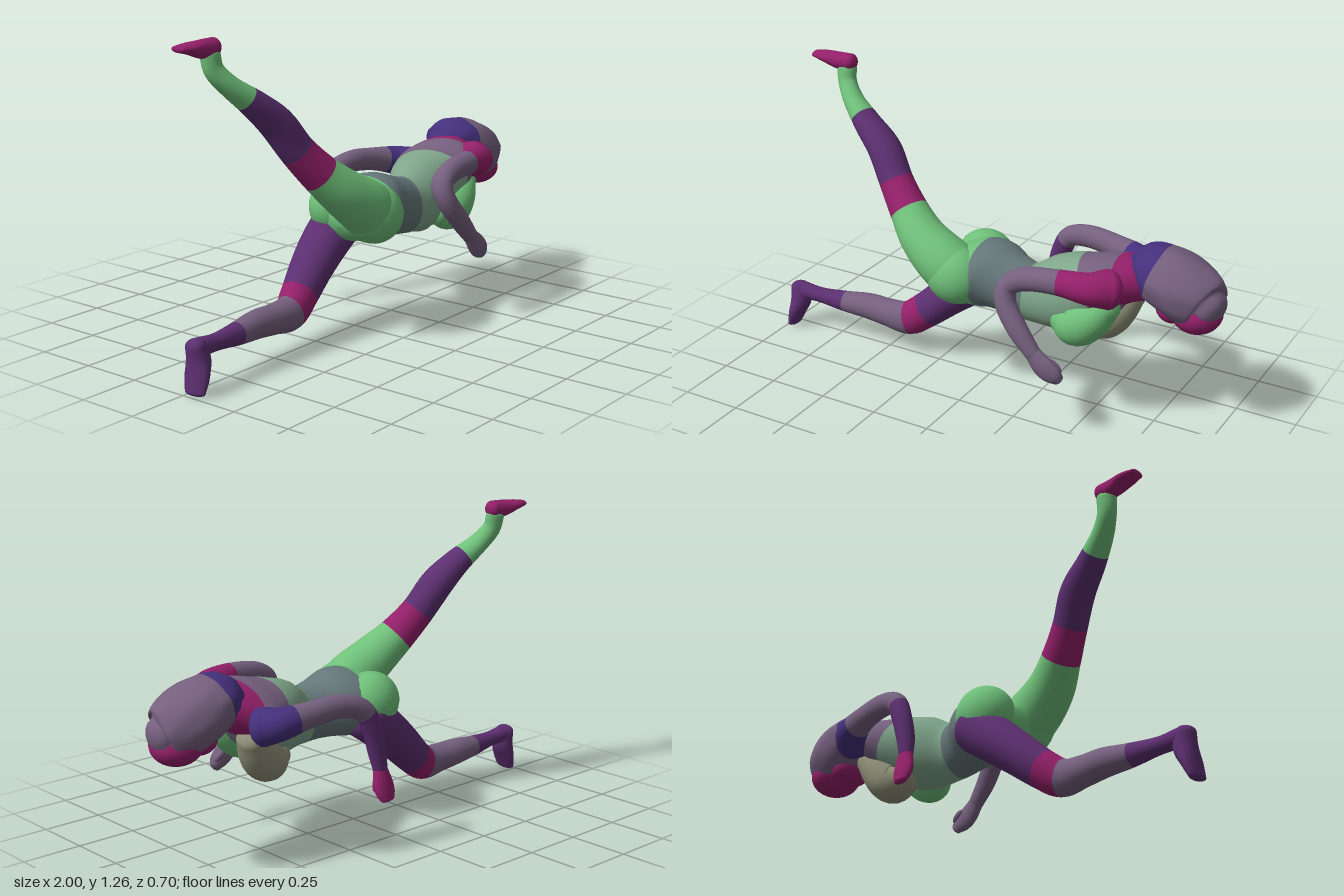
import * as THREE from 'three';

const GREEN = 0x6fc07a, PURPLE = 0x5c2f70, MAUVE = 0x75607e, MAGENTA = 0x94206a;
const SLATE = 0x66787a, SAGE = 0x7fa58a, INDIGO = 0x45307c, SAND = 0x8f9078;
const SIDES = 28, STEPS = 6, CAP = 5;

// Smooth loft through stations [x, y, z, halfWidth, halfHeight, roll];
// bands [name, color, lastStation] cut it into coloured lengths.
function loft(group, stations, bands, bump = () => 1) {
  const path = new THREE.CatmullRomCurve3(stations.map(s => new THREE.Vector3(s[0], s[1], s[2])), false, 'catmullrom', 0.5);
  const size = new THREE.CatmullRomCurve3(stations.map(s => new THREE.Vector3(s[3], s[4], s[5] || 0)), false, 'catmullrom', 0.5);
  const spans = stations.length - 1, rings = [];
  const addRing = (t, along, scale) => {
    const T = path.getTangent(t), r = size.getPoint(t);
    const C = path.getPoint(t).addScaledVector(T, along * Math.min(r.x, r.y));
    const S = new THREE.Vector3(0, 0, 1).addScaledVector(T, -T.z).normalize().applyAxisAngle(T, r.z);
    rings.push({ C, S, U: T.clone().cross(S), a: r.x * scale, b: r.y * scale, t });
  };
  // rounded start, body, rounded end
  for (let k = CAP; k > 0; k--) {
    const q = k / CAP * Math.PI / 2;
    addRing(0, -Math.sin(q) * 0.7, Math.max(Math.cos(q), 0.002));
  }
  for (let i = 0; i <= spans * STEPS; i++) addRing(i / (spans * STEPS), 0, 1);
  for (let k = 1; k <= CAP; k++) {
    const q = k / CAP * Math.PI / 2;
    addRing(1, Math.sin(q) * 0.7, Math.max(Math.cos(q), 0.002));
  }
  const pos = [];
  for (const { C, S, U, a, b, t } of rings) {
    for (let j = 0; j < SIDES; j++) {
      const q = j / SIDES * Math.PI * 2, m = bump(q, t);
      const p = C.clone().addScaledVector(S, a * m * Math.cos(q)).addScaledVector(U, b * m * Math.sin(q));
      pos.push(p.x, p.y, p.z);
    }
  }
  const faces = (from, to) => {
    const out = [];
    for (let i = from; i < to; i++) for (let j = 0; j < SIDES; j++) {
      const k = (j + 1) % SIDES, a = i * SIDES + j, b = i * SIDES + k;
      out.push(a, b, a + SIDES, b, b + SIDES, a + SIDES);
    }
    return out;
  };
  const whole = new THREE.BufferGeometry();
  whole.setAttribute('position', new THREE.Float32BufferAttribute(pos, 3));
  whole.setIndex(faces(0, rings.length - 1));
  whole.computeVertexNormals();
  let start = 0;
  bands.forEach(([name, color, last], n) => {
    const end = n === bands.length - 1 ? rings.length - 1 : CAP + Math.round(last * STEPS);
    const g = whole.clone();
    g.setIndex(faces(start, end));
    addMesh(group, name, g, color);
    start = end;
  });
}

function addMesh(group, name, geometry, color) {
  const mesh = new THREE.Mesh(geometry, new THREE.MeshStandardMaterial({ color }));
  mesh.name = name;
  group.add(mesh);
  return mesh;
}

function ellipsoid(group, name, color, [x, y, z], [a, b, c], tilt = 0) {
  const m = addMesh(group, name, new THREE.SphereGeometry(1, 28, 20), color);
  m.position.set(x, y, z);
  m.scale.set(a, b, c);
  m.rotation.z = tilt;
}

export function createModel() {
  const model = new THREE.Group();
  model.name = 'reclining figure';
  const part = name => {
    const g = new THREE.Group();
    g.name = name;
    model.add(g);
    return g;
  };

  // torso, rolled slightly so one shoulder sits higher
  const torso = part('torso');
  loft(torso, [
    [-0.1, 0.48, 0.05, 0.13, 0.09, -0.1], [-0.04, 0.495, 0.05, 0.19, 0.125, -0.1],
    [0.05, 0.505, 0.05, 0.168, 0.138, -0.1], [0.15, 0.49, 0.065, 0.12, 0.122, -0.12],
    [0.25, 0.478, 0.07, 0.1, 0.12, -0.15], [0.37, 0.5, 0.05, 0.135, 0.153, -0.17],
    [0.48, 0.54, 0.025, 0.172, 0.142, -0.17], [0.56, 0.583, 0.01, 0.195, 0.11, -0.17],
    [0.63, 0.605, 0, 0.155, 0.092, -0.16], [0.72, 0.62, -0.01, 0.078, 0.08, 0],
  ], [['pelvis', GREEN, 1.6], ['waist', SLATE, 3.8], ['chest', SAGE, 6.2], ['upperBack', MAUVE, 7.6], ['neck', MAGENTA, 9]]);
  // breasts run up into the shoulders
  loft(torso, [
    [0.59, 0.53, 0.125, 0.06, 0.055], [0.53, 0.47, 0.132, 0.084, 0.082],
    [0.465, 0.425, 0.138, 0.086, 0.088], [0.405, 0.43, 0.125, 0.065, 0.066],
  ], [['leftBreast', GREEN, 3]]);
  loft(torso, [
    [0.6, 0.49, -0.085, 0.06, 0.055], [0.55, 0.43, -0.065, 0.08, 0.08],
    [0.495, 0.375, -0.045, 0.085, 0.084], [0.435, 0.385, -0.025, 0.065, 0.064],
  ], [['rightBreast', SAND, 3]]);
  ellipsoid(torso, 'leftButtock', GREEN, [-0.07, 0.515, 0.15], [0.13, 0.12, 0.115], -0.4);
  ellipsoid(torso, 'rightButtock', GREEN, [-0.045, 0.51, -0.05], [0.125, 0.12, 0.112], -0.1);

  // head, face turned down, with softly ridged hair
  const head = part('head');
  loft(head, [
    [0.66, 0.64, -0.02, 0.09, 0.075], [0.71, 0.652, -0.02, 0.13, 0.103],
    [0.78, 0.63, -0.02, 0.147, 0.118], [0.86, 0.592, -0.02, 0.142, 0.122],
    [0.925, 0.558, -0.015, 0.115, 0.114], [0.945, 0.548, -0.01, 0.08, 0.082],
  ], [['hairBack', INDIGO, 1.3], ['hair', MAUVE, 5]],
  (q, t) => 1 + 0.018 * Math.sin(9 * q + 7 * t) + 0.012 * Math.sin(5 * q - 11 * t));
  ellipsoid(head, 'face', MAGENTA, [0.895, 0.517, -0.02], [0.1, 0.08, 0.108], -0.1);
  ellipsoid(head, 'jaw', MAGENTA, [0.8, 0.52, -0.02], [0.07, 0.06, 0.09], -0.5);

  // raised left leg
  const leftLeg = part('leftLeg');
  loft(leftLeg, [
    [-0.03, 0.49, 0.13, 0.11, 0.11], [-0.12, 0.55, 0.145, 0.112, 0.112],
    [-0.23, 0.625, 0.13, 0.098, 0.095], [-0.325, 0.712, 0.09, 0.08, 0.079],
    [-0.41, 0.81, 0.05, 0.07, 0.07], [-0.485, 0.92, 0.015, 0.072, 0.067],
    [-0.58, 1.005, -0.01, 0.06, 0.054], [-0.67, 1.078, -0.045, 0.046, 0.041],
    [-0.72, 1.14, -0.075, 0.036, 0.04], [-0.73, 1.2, -0.087, 0.034, 0.043],
  ], [['leftThigh', GREEN, 3], ['leftKnee', MAGENTA, 4], ['leftShin', PURPLE, 6.4], ['leftAnkle', GREEN, 9]]);
  loft(leftLeg, [
    [-0.71, 1.226, -0.088, 0.035, 0.035], [-0.77, 1.224, -0.09, 0.038, 0.035],
    [-0.83, 1.232, -0.092, 0.043, 0.023], [-0.885, 1.236, -0.092, 0.032, 0.013],
  ], [['leftFoot', MAGENTA, 3]]);

  // right leg resting low
  const rightLeg = part('rightLeg');
  loft(rightLeg, [
    [-0.01, 0.46, -0.055, 0.105, 0.1], [-0.12, 0.375, -0.055, 0.1, 0.092],
    [-0.22, 0.295, -0.043, 0.088, 0.084], [-0.32, 0.212, -0.022, 0.074, 0.077],
    [-0.4, 0.161, -0.003, 0.064, 0.073], [-0.5, 0.16, 0, 0.058, 0.061],
    [-0.6, 0.165, 0, 0.056, 0.056], [-0.72, 0.163, 0.01, 0.045, 0.045],
    [-0.84, 0.167, 0.02, 0.034, 0.033], [-0.93, 0.172, 0.025, 0.038, 0.037],
  ], [['rightThigh', PURPLE, 3], ['rightKnee', MAGENTA, 4], ['rightShin', MAUVE, 7], ['rightAnkle', PURPLE, 9]]);
  loft(rightLeg, [
    [-0.953, 0.184, 0.025, 0.04, 0.038], [-0.945, 0.13, 0.03, 0.047, 0.044],
    [-0.962, 0.07, 0.037, 0.055, 0.031], [-0.978, 0.016, 0.041, 0.048, 0.019],
  ], [['rightFoot', PURPLE, 3]]);

  // left arm, elbow bent back and hand forward
  const leftArm = part('leftArm');
  loft(leftArm, [
    [0.605, 0.62, 0.165, 0.08, 0.077], [0.55, 0.632, 0.22, 0.066, 0.062],
    [0.44, 0.643, 0.247, 0.05, 0.05], [0.31, 0.63, 0.255, 0.045, 0.047],
    [0.235, 0.59, 0.265, 0.045, 0.042], [0.235, 0.525, 0.29, 0.042, 0.042],
    [0.3, 0.435, 0.31, 0.037, 0.042], [0.37, 0.355, 0.317, 0.028, 0.034],
  ], [['leftShoulder', MAGENTA, 2], ['leftUpperArm', MAUVE, 4.4], ['leftForearm', MAUVE, 7]]);
  loft(leftArm, [
    [0.365, 0.36, 0.317, 0.026, 0.032], [0.415, 0.31, 0.317, 0.028, 0.046],
    [0.455, 0.28, 0.312, 0.025, 0.04], [0.475, 0.262, 0.305, 0.018, 0.026],
  ], [['leftHand', MAUVE, 3]]);
  ellipsoid(leftArm, 'leftThumb', MAUVE, [0.455, 0.31, 0.295], [0.035, 0.015, 0.016], -0.7);

  // right arm, forearm hanging down
  const rightArm = part('rightArm');
  loft(rightArm, [
    [0.605, 0.555, -0.165, 0.08, 0.074], [0.56, 0.57, -0.22, 0.065, 0.062],
    [0.45, 0.59, -0.25, 0.048, 0.05], [0.32, 0.6, -0.268, 0.043, 0.047],
    [0.22, 0.572, -0.285, 0.041, 0.043], [0.175, 0.495, -0.295, 0.038, 0.042],
    [0.15, 0.4, -0.295, 0.035, 0.038], [0.138, 0.325, -0.302, 0.027, 0.031],
  ], [['rightShoulder', INDIGO, 1.5], ['rightUpperArm', MAUVE, 4.4], ['rightForearm', PURPLE, 7]]);
  loft(rightArm, [
    [0.138, 0.325, -0.302, 0.025, 0.03], [0.134, 0.27, -0.313, 0.027, 0.045],
    [0.13, 0.23, -0.325, 0.023, 0.045], [0.128, 0.205, -0.335, 0.016, 0.034],
  ], [['rightHand', MAGENTA, 3]]);
  ellipsoid(rightArm, 'rightThumb', MAGENTA, [0.155, 0.265, -0.3], [0.015, 0.035, 0.016], 0.2);

  return model;
}
